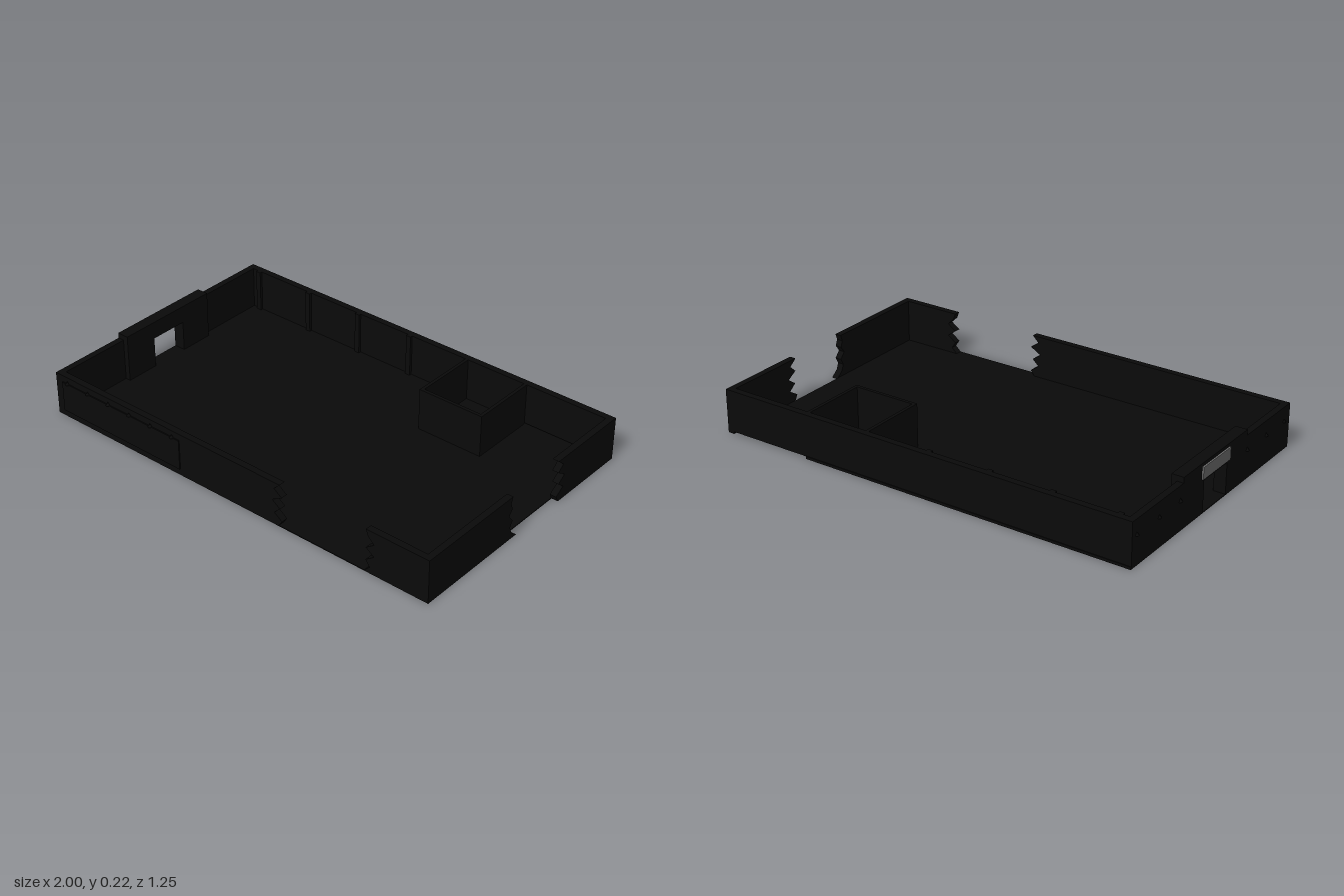
import * as THREE from 'three';

const dark = new THREE.MeshStandardMaterial({ color: 0x0a0a0a });
const grey = new THREE.MeshStandardMaterial({ color: 0x777777 });

export function createModel() {
  const model = new THREE.Group();

  const add = (name, geometry, material = dark) => {
    const mesh = new THREE.Mesh(geometry, material);
    mesh.name = name;
    model.add(mesh);
    return mesh;
  };

  // Box given by its minimum and maximum along each axis
  const box = (name, x0, x1, y0, y1, z0, z1, material) => {
    const g = new THREE.BoxGeometry(x1 - x0, y1 - y0, z1 - z0);
    g.translate((x0 + x1) / 2, (y0 + y1) / 2, (z0 + z1) / 2);
    return add(name, g, material);
  };

  const H = 0.2;    // wall height
  const T = 0.03;   // wall thickness
  const X0 = -0.99, X1 = 1, Z0 = -0.622, Z1 = 0.612;

  // Wall slab with one straight end and one broken end; edge lists u from bottom to top
  const brokenWall = (straight, edge) => {
    const shape = new THREE.Shape();
    shape.moveTo(straight, 0);
    edge.forEach((u, i) => shape.lineTo(u, (H * i) / (edge.length - 1)));
    shape.lineTo(straight, H);
    return new THREE.ExtrudeGeometry(shape, { depth: T, bevelEnabled: false });
  };

  // Floor
  box('floor', X0, 0.97, 0, 0.004, Z0 + 0.015, Z1);

  // Back wall, slightly lifted off the floor near the left end
  box('backWall', X0, 0.57, 0, H, Z0, Z0 + T);
  box('backWallRaised', 0.57, X1, 0.01, H, Z0, Z0 + T);
  box('backPlinth', X0, 0.57, 0, 0.012, -0.625, Z0);

  // Front wall, broken open
  const frontEdges = [
    [X0, [0.26, 0.28, 0.24, 0.27, 0.23, 0.28, 0.24, 0.27]],
    [X1, [0.69, 0.72, 0.7, 0.74, 0.7, 0.74, 0.71, 0.7]],
  ];
  for (const [end, edge] of frontEdges) {
    add('frontWall', brokenWall(end, edge).translate(0, 0, Z1 - T));
  }

  // Left wall, broken open
  const sideEdges = [
    [Z1, [0.055, 0.09, 0.1, 0.085, 0.11, 0.09, 0.1, 0.09]],
    [Z0, [-0.23, -0.215, -0.26, -0.225, -0.265, -0.22, -0.25, -0.215]],
  ];
  for (const [end, edge] of sideEdges) {
    add('leftWall', brokenWall(end, edge).rotateY(-Math.PI / 2).translate(X1, 0, 0));
  }

  // Right wall with the raised entrance
  box('rightWall', X0, X0 + T, 0, H, Z0, -0.255);
  box('rightWall', X0, X0 + T, 0, H, 0.245, Z1);
  box('entrancePillar', X0, -0.935, 0, 0.225, -0.255, -0.095);
  box('entrancePillar', X0, -0.935, 0, 0.225, 0.085, 0.245);
  box('entranceLintel', X0, -0.935, 0.145, 0.225, -0.095, 0.085);
  box('entranceSign', -0.997, X0, 0.155, 0.21, -0.115, 0.1, grey);

  // Small room against the back wall
  box('roomSideWall', 0.26, 0.275, 0, H, Z0 + T, -0.275);
  box('roomSideWall', 0.565, 0.58, 0, H, Z0 + T, -0.275);
  box('roomFrontWall', 0.275, 0.565, 0, H, -0.29, -0.275);

  // Shallow pilasters inside the back wall
  for (const x of [-0.92, -0.62, -0.33, -0.04]) {
    box('pilaster', x - 0.012, x + 0.012, 0, H, Z0 + T, Z0 + T + 0.012);
  }

  // Display panel on the front wall
  box('frontPanel', -0.95, -0.27, 0.03, 0.17, Z1, 0.617);

  // Wall lamps along the front and the right side
  const lamp = (x, y, z) => {
    add('wallLamp', new THREE.ConeGeometry(0.01, 0.016, 8)).position.set(x, y, z);
  };
  for (let i = 0; i < 6; i++) lamp(-0.92 + i * 0.122, 0.176, 0.615);
  for (const z of [-0.59, -0.43, -0.275, 0.25, 0.41, 0.565]) lamp(X0, 0.138, z);

  return model;
}
